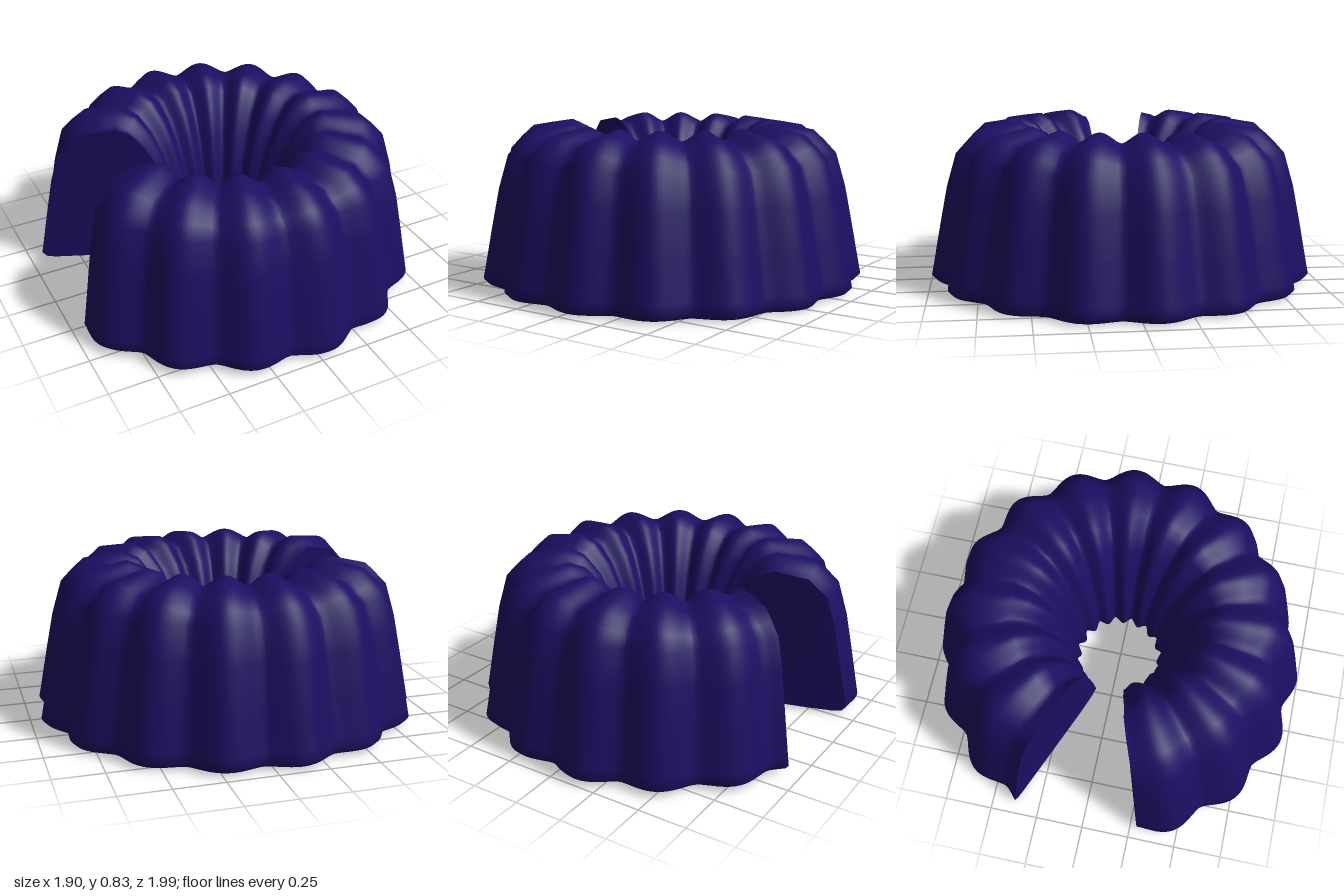
import * as THREE from 'three';

const LOBES = 16, PHASE = 0.1, CENTRE_X = -0.045;
const START = -2.833, END = 2.742, STEPS = 224;

// Cross-section, counter-clockwise: crest radius, crest height, and the shift of each towards a valley
const PROFILE = [
  [0.21, 0.06, 0.025, 0.03], [0.25, 0.025, 0.03, 0.03], [0.38, 0.015, 0, 0.01], [0.7, 0.01, 0, 0],
  [0.93, 0.008, -0.05, 0], [0.975, 0.015, -0.055, 0], [1.0, 0.04, -0.06, 0], [0.99, 0.09, -0.06, 0],
  [0.95, 0.3, -0.06, 0], [0.91, 0.5, -0.06, 0], [0.86, 0.67, -0.055, -0.015], [0.8, 0.735, -0.045, -0.035],
  [0.74, 0.79, -0.03, -0.045], [0.64, 0.808, -0.01, -0.05], [0.53, 0.825, 0.01, -0.05],
  [0.45, 0.79, 0.025, -0.045], [0.37, 0.69, 0.035, -0.025], [0.31, 0.56, 0.035, -0.01],
  [0.26, 0.4, 0.03, 0], [0.23, 0.22, 0.025, 0],
];

// One cross-section of the ring at fraction u of its sweep
function section(u) {
  const base = START + (END - START) * u;
  const crest = Math.pow(0.5 + 0.5 * Math.cos(LOBES * (base - PHASE)), 0.75);
  return PROFILE.map(([r0, y0, dr, dy]) => {
    const r = r0 + dr * (1 - crest), y = y0 + dy * (1 - crest);
    // the cut ends swell slightly into the gap near the top
    const swell = 0.06 * Math.max(0, 1 - Math.abs(r - 0.55) / 0.45) * (y / 0.82);
    const a = base + swell * Math.pow(2 * u - 1, 15);
    const x = r * Math.cos(a);
    return new THREE.Vector3(CENTRE_X + x, y - 0.008 * x, -r * Math.sin(a));
  });
}

function buildMesh(name, points, index, material) {
  const geometry = new THREE.BufferGeometry().setFromPoints(points);
  geometry.setIndex(index);
  geometry.computeVertexNormals();
  const mesh = new THREE.Mesh(geometry, material);
  mesh.name = name;
  return mesh;
}

export function createModel() {
  const group = new THREE.Group();
  group.name = 'ringCake';
  const material = new THREE.MeshStandardMaterial({ color: 0x1d0e62 });

  // Fluted crust: the cross-section swept around the ring
  const n = PROFILE.length, points = [], index = [];
  for (let i = 0; i <= STEPS; i++) {
    points.push(...section(i / STEPS));
    if (i === STEPS) break;
    for (let j = 0; j < n; j++) {
      const a = i * n + j, b = i * n + (j + 1) % n, c = a + n, d = b + n;
      index.push(a, c, b, b, c, d);
    }
  }
  group.add(buildMesh('flutedCrust', points, index, material));

  // Two cut faces where the slice was removed
  const outline = PROFILE.map(([r, y]) => new THREE.Vector2(r, y));
  const faces = THREE.ShapeUtils.triangulateShape(outline, []);
  group.add(buildMesh('frontCutFace', section(0), faces.flat(), material));
  group.add(buildMesh('backCutFace', section(1), faces.flatMap(([a, b, c]) => [a, c, b]), material));
  return group;
}
